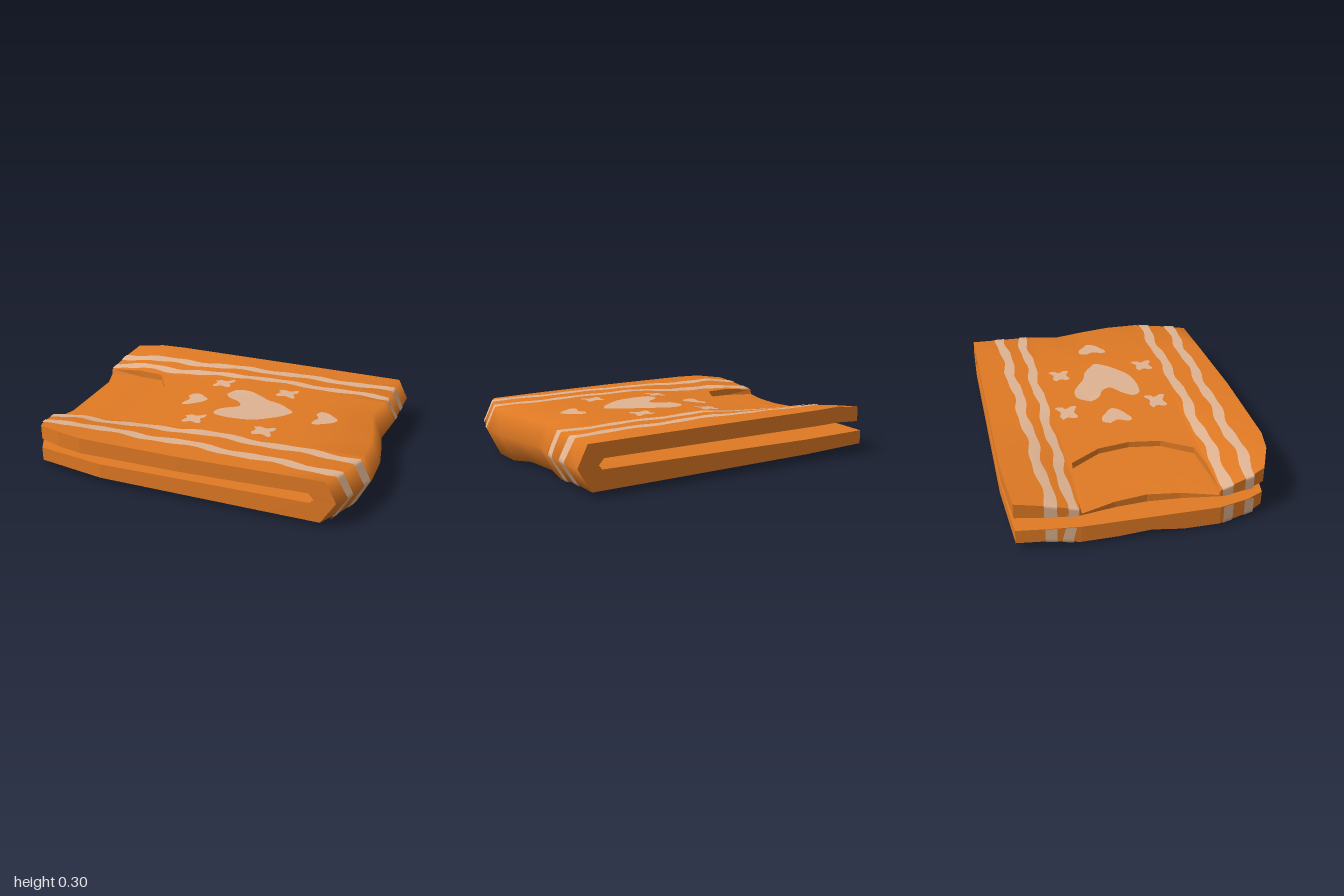
import * as THREE from 'three';

// Piecewise linear lookup through [key, value] knots
function pl(knots, t) {
  if (t <= knots[0][0]) return knots[0][1];
  for (let i = 1; i < knots.length; i++) {
    const [a, va] = knots[i - 1], [b, vb] = knots[i];
    if (t <= b) return va + (vb - va) * (t - a) / (b - a);
  }
  return knots[knots.length - 1][1];
}

// Outline of the folded sheet
const RIM = [[-0.75, -0.93], [-0.38, -0.975], [-0.37, -0.76], [-0.35, -0.59], [-0.18, -0.49], [0, -0.465],
  [0.18, -0.49], [0.35, -0.59], [0.37, -0.76], [0.38, -0.975], [0.75, -0.905]];
const TOP_LEFT = [[-0.75, -0.93], [-0.38, -0.975], [-0.18, -0.91], [0, -0.885],
  [0.18, -0.91], [0.38, -0.975], [0.75, -0.905]];
const BOTTOM_LEFT = [[-0.75, -0.96], [-0.38, -1], [0.38, -1], [0.75, -0.915]];
const FOLD = [[-0.75, 0.98], [-0.38, 0.97], [-0.18, 0.93], [0, 0.97], [0.18, 1], [0.38, 1], [0.75, 0.88]];
const FRONT = [[-0.92, 0.64], [-0.74, 0.72], [-0.61, 0.745], [0.05, 0.745], [0.88, 0.705]];
const BACK = [[-0.86, 0.72], [-0.74, 0.74], [-0.6, 0.75]];
const HALF = [0.18, 0.35, 0.37, 0.38, 0.465, 0.55, 0.75];
const STATIONS = [...HALF.map((z) => -z).reverse(), 0, ...HALF];

// Heights of the faces; the top sheet sags in the middle
const middle = (z) => pl([[0.38, 1], [0.55, 0.35], [0.75, 0]], Math.abs(z));
const topOuter = (x, z) => pl([[-1, 0.265], [-0.75, 0.295], [0, 0.289], [1, 0.28]], x) -
  middle(z) * pl([[-0.6, 0.05], [-0.3, 0.03], [0, 0]], x);
const topInner = (x, z) => pl([[-1, 0.18], [-0.75, 0.2], [1, 0.197]], x) -
  middle(z) * pl([[-0.98, 0], [-0.88, 0.05], [-0.6, 0.053], [-0.3, 0.028], [0, 0.02]], x);
const recess = (x, z) => topOuter(x, z) - pl([[-0.98, 0.03], [-0.85, 0.045], [-0.46, 0.035]], x);
const bottomOuter = (x, z) => pl([[-0.75, 0.03], [-0.55, 0.03], [-0.38, 0.01], [-0.18, 0.012], [0, 0.025],
  [0.18, 0], [0.38, 0], [0.75, 0.03]], z) + pl([[-1, 0.015], [0.8, 0]], x);
const bottomInner = (x) => pl([[-1, 0.125], [0.8, 0.14]], x);

// Cross-section at z: matching outer and inner paths from top left round the fold to bottom left,
// and the floor of the thumb recess
function section(z) {
  const outer = [], inner = [], floor = [];
  const add = (list, x, y, upper) => {
    const front = upper ? pl(FRONT, x) : Math.min(pl(FRONT, x), 0.71);
    list.push(new THREE.Vector3(x, y, Math.max(-pl(BACK, x), Math.min(front, z))));
  };
  const rim = pl(RIM, z), left = pl(TOP_LEFT, z), low = pl(BOTTOM_LEFT, z);
  const fold = pl(FOLD, z), slot = fold - 0.12;
  for (const c of [-1, -0.75, -0.6, -0.45, -0.3, -0.15, 0, 0.5]) {
    const xo = Math.max(rim, c), xi = Math.max(left, c);
    add(outer, xo, topOuter(xo, z), true);
    add(inner, xi, topInner(xi, z), true);
  }
  for (const c of [-1, -0.75, -0.6, 0]) {
    const x = Math.min(rim, Math.max(left, c));
    add(floor, x, Math.abs(z) < 0.375 ? recess(x, z) : topOuter(x, z), true);
  }
  add(outer, fold - 0.06, 0.28, true);
  add(outer, fold, 0.16);
  add(outer, fold - 0.08, bottomOuter(fold - 0.08, z));
  add(inner, slot - 0.03, topInner(slot - 0.03, z), true);
  add(inner, slot, 0.163);
  add(inner, slot - 0.02, 0.14);
  for (const x of [0.5, 0, -0.5, low]) {
    add(outer, x, bottomOuter(x, z));
    add(inner, x, bottomInner(x));
  }
  return { outer, inner, floor };
}

// Surface through rows of points
function strip(rows, flip = false, flat = false) {
  const n = rows[0].length, index = [];
  for (let i = 0; i < rows.length - 1; i++) {
    for (let j = 0; j < n - 1; j++) {
      const a = i * n + j, b = a + n, c = a + 1, d = b + 1;
      if (flip) index.push(a, c, b, b, c, d);
      else index.push(a, b, c, b, d, c);
    }
  }
  let geo = new THREE.BufferGeometry().setFromPoints(rows.flat());
  geo.setIndex(index);
  if (flat) geo = geo.toNonIndexed();
  geo.computeVertexNormals();
  return geo;
}

// Wavy painted band wrapped around the outside and over both left ends;
// shift moves it sideways on the underside
function stripe(center, slope, width, phase, shift) {
  const path = (z) => {
    const s = section(z);
    return [s.inner[0], ...s.outer, s.inner[s.inner.length - 1]];
  };
  const at = (p, t) => {
    const i = Math.min(Math.floor(t), p.length - 2);
    return p[i].clone().lerp(p[i + 1], t - i);
  };
  const mid = path(center), steps = 8, count = (mid.length - 1) * steps;
  const rows = [-1, 0, 1].map((side) => {
    const row = [];
    for (let k = 0; k <= count; k++) {
      const t = k / steps, { x, y } = at(mid, t);
      const wave = 0.01 * Math.sin(13 * x + phase) + 0.005 * Math.sin(27 * x + 2 * phase + side);
      const z = center + slope * x + wave + side * width / 2 + pl([[0.05, shift], [0.2, 0]], y);
      const p = path(Math.sign(z) * Math.max(0.385, Math.abs(z)));
      const d = at(p, Math.min(t + 0.06, p.length - 1)).sub(at(p, Math.max(t - 0.06, 0)));
      const len = Math.hypot(d.x, d.y) || 1;
      const q = at(p, t);
      row.push(new THREE.Vector3(q.x - d.y / len * 0.004, q.y + d.x / len * 0.004, q.z));
    }
    return row;
  });
  return strip(rows);
}

// Flat painted patch laid on the top face, outline given as [x, z]
function patch(points, cx, cz) {
  const shape = new THREE.Shape();
  const pts = points.map(([x, z]) => new THREE.Vector2(cx + x, -(cz + z)));
  shape.moveTo(pts[0].x, pts[0].y);
  shape.splineThru([...pts.slice(1), pts[0]]);
  const geo = new THREE.ShapeGeometry(shape, 50);
  geo.rotateX(-Math.PI / 2);
  const pos = geo.attributes.position;
  for (let i = 0; i < pos.count; i++) pos.setY(i, topOuter(pos.getX(i), pos.getZ(i)) + 0.004);
  geo.computeVertexNormals();
  return geo;
}

export function createModel() {
  const group = new THREE.Group();
  const orange = new THREE.MeshStandardMaterial({ color: 0xe07a24 });
  orange.name = 'orange cloth';
  const tan = new THREE.MeshStandardMaterial({ color: 0xdfb391 });
  tan.name = 'pale pattern';
  const add = (name, geo, mat) => {
    const mesh = new THREE.Mesh(geo, mat);
    mesh.name = name;
    group.add(mesh);
  };

  // Folded cloth
  const sections = STATIONS.map(section);
  const first = sections[0], last = sections[sections.length - 1], end = first.outer.length - 1;
  add('outerCloth', strip(sections.map((s) => s.outer)), orange);
  add('innerCloth', strip(sections.map((s) => s.inner), true), orange);
  add('topLeftEdge', strip(sections.map((s) => [s.inner[0], s.floor[0]]), false, true), orange);
  add('bottomLeftEdge', strip(sections.map((s) => [s.outer[end], s.inner[end]]), false, true), orange);
  add('frontEdge', strip([last.outer, last.inner], false, true), orange);
  add('backEdge', strip([first.inner, first.outer], false, true), orange);

  // Rounded thumb recess in the top sheet
  add('recessFloor', strip(sections.map((s) => s.floor), false, true), orange);
  add('recessWall', strip(sections.map((s) => [s.floor[3], s.outer[0]]), false, true), orange);

  // Border stripes
  [[-0.55, -0.02, 0.06, 0, 0], [-0.425, 0, 0.055, 1.5, -0.035],
    [0.43, 0.005, 0.06, 3, 0], [0.585, 0.025, 0.06, 4.5, 0]]
    .forEach((s) => add('stripe', stripe(...s), tan));

  // Hearts pointing towards the fold
  const heart = [[-0.225, -0.13], [-0.18, -0.2], [-0.1, -0.21], [-0.02, -0.17], [0.05, -0.125], [0.13, -0.1],
    [0.2, -0.05], [0.235, -0.01], [0.19, 0.06], [0.12, 0.12], [0.05, 0.165], [-0.03, 0.185], [-0.12, 0.19],
    [-0.19, 0.175], [-0.205, 0.13], [-0.17, 0.08], [-0.1, 0.03], [-0.09, 0], [-0.12, -0.04], [-0.19, -0.075]];
  const smallHeart = [[-0.07, -0.045], [-0.05, -0.085], [-0.01, -0.085], [0.035, -0.05], [0.07, -0.01],
    [0.045, 0.035], [0, 0.065], [-0.035, 0.085], [-0.065, 0.08], [-0.06, 0.04], [-0.045, 0]];
  add('largeHeart', patch(heart, 0.185, 0), tan);
  add('smallHeart', patch(smallHeart, -0.2, -0.015), tan);
  add('smallHeart', patch(smallHeart, 0.63, 0.005), tan);

  // Four-lobed flowers
  const flower = [[-0.065, -0.03], [-0.03, -0.045], [0.01, -0.035], [0.055, -0.06], [0.06, -0.02], [0.04, 0],
    [0.06, 0.04], [0.05, 0.065], [0, 0.045], [-0.045, 0.06], [-0.06, 0.035], [-0.045, 0]];
  [[-0.125, -0.295], [0.31, -0.265], [-0.105, 0.255], [0.335, 0.28]]
    .forEach(([x, z]) => add('flower', patch(flower, x, z), tan));
  return group;
}
